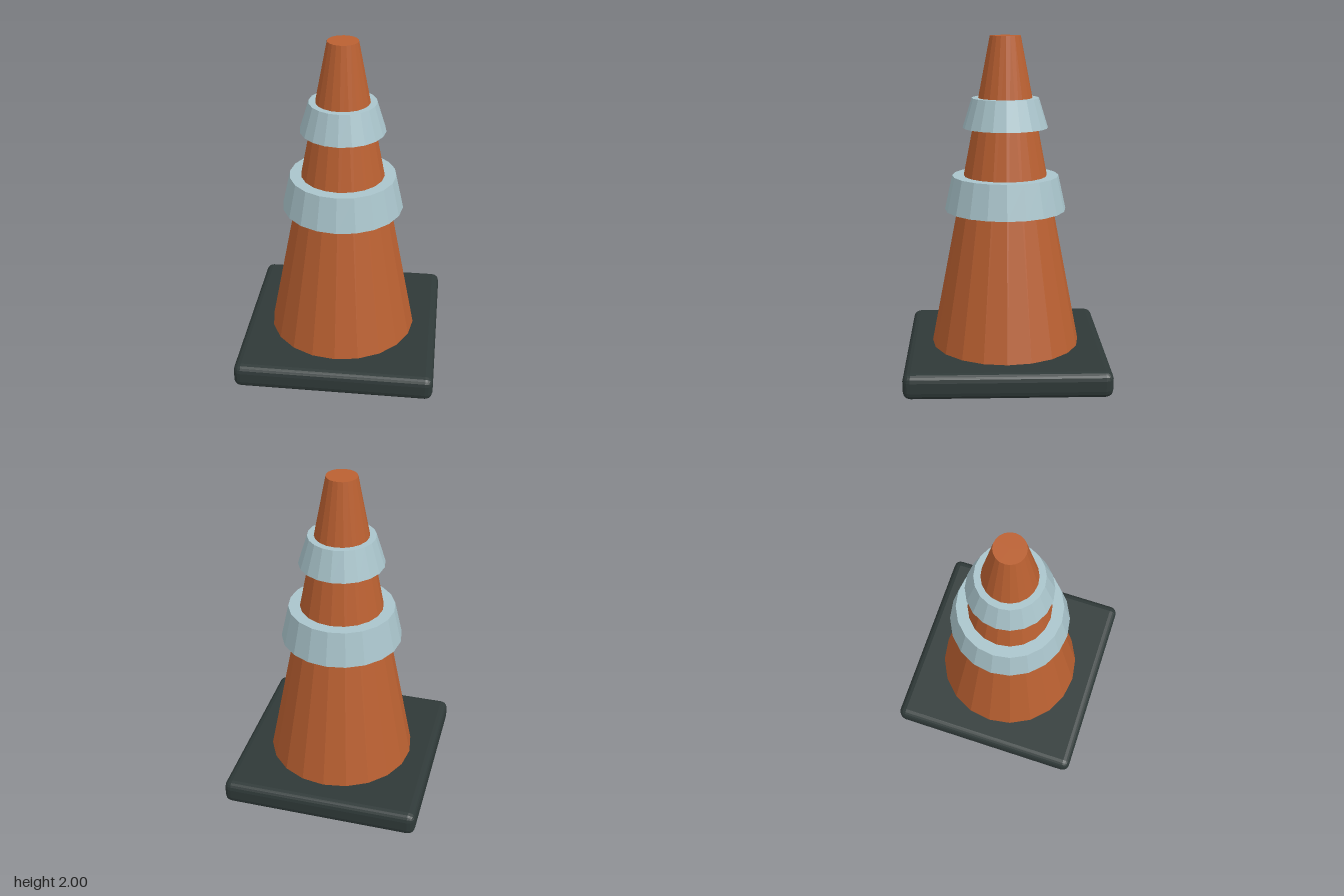
import * as THREE from 'three';
import { RoundedBoxGeometry } from 'three/addons/geometries/RoundedBoxGeometry.js';

const SIDES = 20;

function makeMaterial(name, color) {
  const material = new THREE.MeshStandardMaterial({ color, flatShading: true });
  material.name = name;
  return material;
}

// Tapered solid between two heights
function taper(name, material, yBottom, yTop, rBottom, rTop) {
  const geometry = new THREE.CylinderGeometry(rTop, rBottom, yTop - yBottom, SIDES);
  const mesh = new THREE.Mesh(geometry, material);
  mesh.position.y = (yBottom + yTop) / 2;
  mesh.name = name;
  return mesh;
}

export function createModel() {
  const orange = makeMaterial('orange plastic', 0xba6031);
  const pale = makeMaterial('pale reflective band', 0xa9c4cb);
  const dark = makeMaterial('dark rubber', 0x2f3938);

  const group = new THREE.Group();
  group.name = 'trafficCone';

  // Square foot with softened edges
  const foot = new THREE.Mesh(new RoundedBoxGeometry(1.194, 0.15, 1.194, 2, 0.045), dark);
  foot.position.y = 0.075;
  foot.name = 'baseplate';
  group.add(foot);

  // Cone body and its two raised bands
  group.add(
    taper('coneBody', orange, 0.148, 2, 0.447, 0.09),
    taper('lowerBand', pale, 0.975, 1.18, 0.362, 0.317),
    taper('upperBand', pale, 1.465, 1.64, 0.252, 0.198)
  );
  return group;
}
